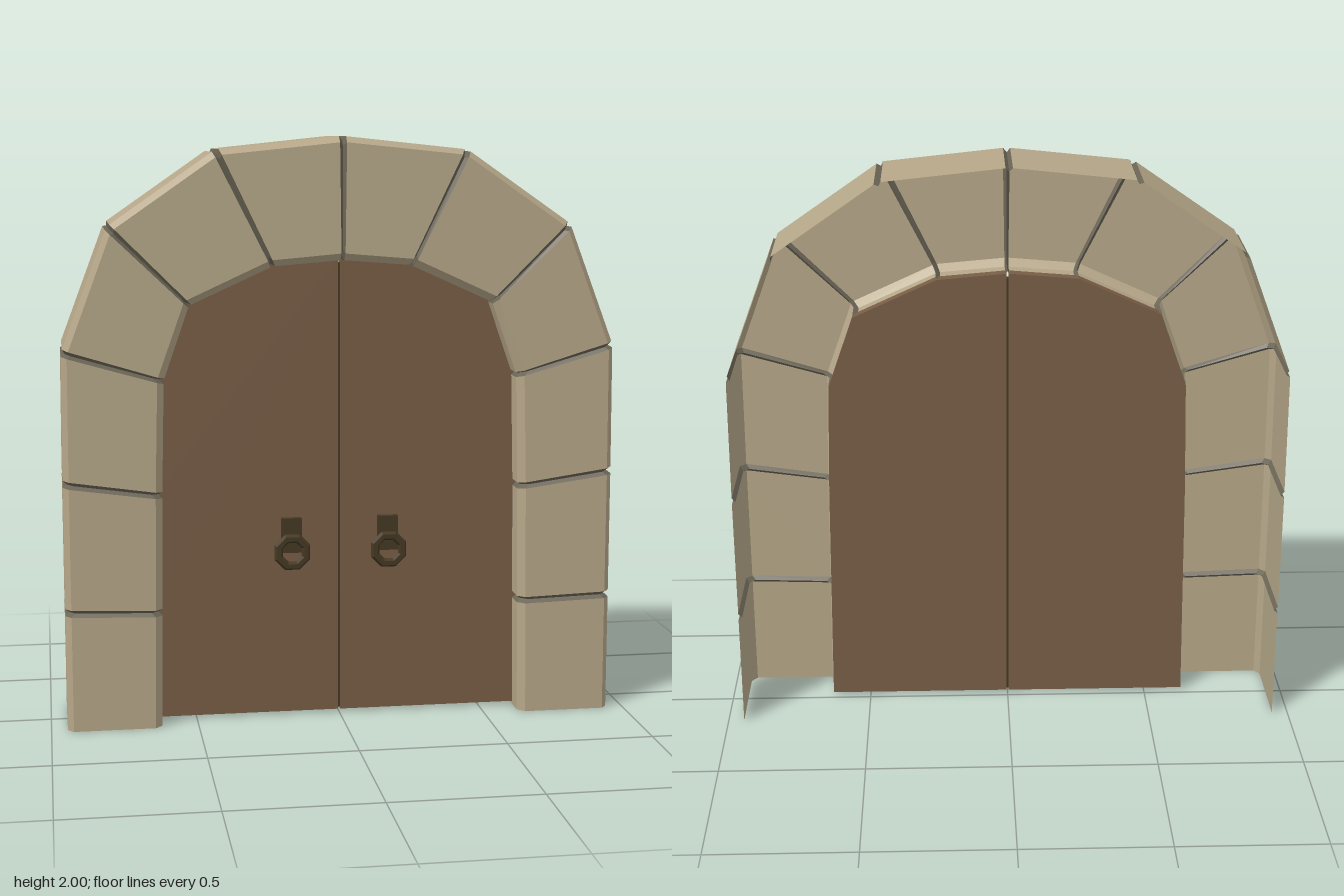
import * as THREE from 'three';

const DOOR_BACK = 0.02, DOOR_FRONT = 0.06;

// Joints between stones, right half: [outer x, outer y, inner x, inner y]
const JOINTS = [
  [0.945, 0, 0.635, 0],
  [0.945, 0.41, 0.63, 0.4],
  [0.945, 0.85, 0.625, 0.805],
  [0.942, 1.29, 0.615, 1.195],
  [0.785, 1.705, 0.525, 1.45],
  [0.425, 1.955, 0.24, 1.58],
  [0, 2, 0, 1.6],
];

// Open-backed cross-section of the arch at one station: outer wall, bevel, face, bevel, reveal
function section(j, sink) {
  const O = new THREE.Vector2(j[0], j[1]), I = new THREE.Vector2(j[2], j[3]);
  const u = O.clone().sub(I).normalize();
  const at = (p, d, z) => new THREE.Vector3(p.x + u.x * d, p.y + u.y * d, z);
  return [
    at(O, -sink, -0.157),
    at(O, -sink, 0.132 - sink),
    at(O, -0.02 - sink, 0.157 - sink),
    at(I, 0.012 + sink, 0.157 - sink),
    at(I, -0.012 + sink, 0.13 - sink),
    at(I, -0.012 + sink, 0.03),
  ];
}

// Flat-faced skin between two cross-sections; side = -1 mirrors it
function skin(a, b, side) {
  const pos = [];
  const put = (...pts) => {
    if (side < 0) pts.reverse();
    for (const p of pts) pos.push(p.x * side, p.y, p.z);
  };
  for (let i = 0; i < a.length - 1; i++) {
    put(a[i], b[i], a[i + 1]);
    put(b[i], b[i + 1], a[i + 1]);
  }
  const geo = new THREE.BufferGeometry();
  geo.setAttribute('position', new THREE.Float32BufferAttribute(pos, 3));
  geo.computeVertexNormals();
  return geo;
}

export function createModel() {
  const model = new THREE.Group();
  model.name = 'archedDoorway';

  const material = (name, color, extra = {}) => {
    const m = new THREE.MeshStandardMaterial({ color, ...extra });
    m.name = name;
    return m;
  };
  const stone = material('sandstone', 0xb5a688, { side: THREE.DoubleSide });
  const groove = material('dark joint', 0x6a6455, { side: THREE.DoubleSide });
  const wood = material('brown wood', 0x785d46);
  const iron = material('dark bronze', 0x443822);

  const add = (parent, name, geo, mat) => {
    const mesh = new THREE.Mesh(geo, mat);
    mesh.name = name;
    parent.add(mesh);
    return mesh;
  };

  for (const side of [1, -1]) {
    const half = new THREE.Group();
    half.name = side > 0 ? 'leftHalf' : 'rightHalf';
    model.add(half);

    // Arch stones with sunken V joints between them
    for (let k = 0; k < JOINTS.length - 1; k++) {
      const lo = JOINTS[k], hi = JOINTS[k + 1];
      const mix = (t) => lo.map((v, i) => v + (hi[i] - v) * t);
      const t = 0.012 / Math.hypot(hi[0] - lo[0], hi[1] - lo[1]);
      const start = section(mix(k ? t : 0), 0), end = section(mix(1 - t), 0);
      add(half, 'archStone' + (k + 1), skin(start, end, side), stone);
      if (k) add(half, 'jointLower' + k, skin(section(lo, 0.013), start, side), groove);
      add(half, 'jointUpper' + (k + 1), skin(end, section(hi, 0.013), side), groove);
    }

    // Door leaf following the inside of the arch
    const outline = [[0.004, 0.01], ...JOINTS.map((j) => [Math.max(j[2], 0.004), Math.max(j[3] - 0.005, 0.01)])];
    const shape = new THREE.Shape(outline.map(([x, y]) => new THREE.Vector2(x * side, y)));
    const leaf = new THREE.ExtrudeGeometry(shape, { depth: DOOR_FRONT - DOOR_BACK, bevelEnabled: false });
    add(half, 'doorLeaf', leaf, wood).position.z = DOOR_BACK;

    // Handle: mounting plate and eight-sided ring
    const handle = new THREE.Group();
    handle.name = 'handle';
    handle.position.set(0.168 * side, 0, DOOR_FRONT);
    half.add(handle);
    add(handle, 'handlePlate', new THREE.BoxGeometry(0.07, 0.12, 0.03), iron).position.set(0, 0.64, 0.01);
    const ringGeo = new THREE.TorusGeometry(0.051, 0.016, 6, 8).toNonIndexed();
    ringGeo.computeVertexNormals();
    const ring = add(handle, 'handleRing', ringGeo, iron);
    ring.position.set(0, 0.585, 0.035);
    ring.rotation.z = Math.PI / 8;
  }

  // Dark seam between the two leaves
  const seam = add(model, 'doorSeam', new THREE.BoxGeometry(0.008, 1.56, 0.024), iron);
  seam.position.set(0, 0.795, (DOOR_BACK + DOOR_FRONT) / 2);

  return model;
}
